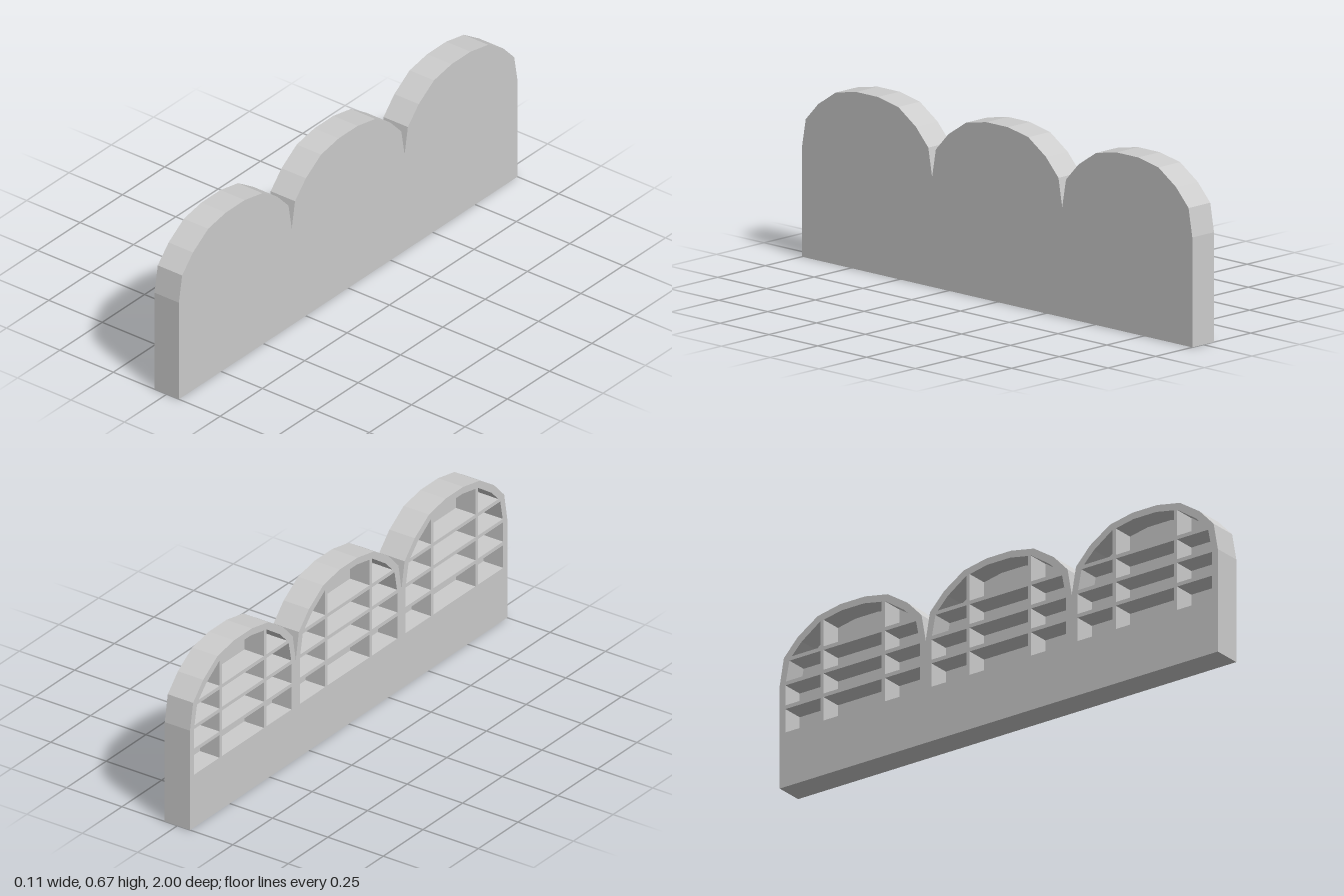
import * as THREE from 'three';

export function createModel() {
  const group = new THREE.Group();
  const grey = new THREE.MeshStandardMaterial({ color: 0xcccccc });
  grey.name = 'light grey';

  const HALF = 0.057, BACK = 0.026, SPAN = 2 / 3;
  const centres = [-SPAN, 0, SPAN];
  // half arch: [offset from the arch centre, height]
  const outer = [[SPAN / 2, 0.415], [0.314, 0.523], [0.25, 0.591], [0.16, 0.65], [0.056, 0.67]];
  const inner = [[0.307, 0.415], [0.288, 0.51], [0.233, 0.567], [0.15, 0.624], [0.052, 0.643]];

  // points of a whole arch, from low z to high z
  const arch = (half, c) => [
    ...half.map(([d, y]) => new THREE.Vector2(c - d, y)),
    ...half.slice().reverse().map(([d, y]) => new THREE.Vector2(c + d, y)),
  ];
  // counter-clockwise outline, so that the extrusion turns the holes inwards
  const outline = () => new THREE.Shape([
    new THREE.Vector2(-1, 0),
    ...centres.flatMap((c, i) => arch(outer, c).slice(i ? 1 : 0)),
    new THREE.Vector2(1, 0),
  ].reverse());

  // shape x becomes z, extrusion runs from startX towards -x
  const slab = (name, shape, startX, depth) => {
    const geo = new THREE.ExtrudeGeometry(shape, { depth, bevelEnabled: false });
    geo.rotateY(-Math.PI / 2).translate(startX, 0, 0);
    const mesh = new THREE.Mesh(geo, grey);
    mesh.name = name;
    group.add(mesh);
  };

  // solid panel closing one side
  slab('backPanel', outline(), HALF, BACK);

  // frame with three arched openings
  const SILL = 0.22;
  const depth = 2 * HALF - BACK;
  const frame = outline();
  for (const c of centres) {
    frame.holes.push(new THREE.Path([
      new THREE.Vector2(c - 0.307, SILL),
      ...arch(inner, c),
      new THREE.Vector2(c + 0.307, SILL),
    ]));
  }
  slab('archedFrame', frame, HALF - BACK, depth);

  // shelves and dividers inside each opening
  const bar = (name, height, length, y, z, parent) => {
    const mesh = new THREE.Mesh(new THREE.BoxGeometry(depth, height, length), grey);
    mesh.name = name;
    mesh.position.set(-BACK / 2, y, z);
    parent.add(mesh);
  };
  for (const c of centres) {
    const bay = new THREE.Group();
    bay.name = 'shelfBay';
    bay.position.z = c;
    for (const [y, half] of [[0.322, 0.31], [0.418, 0.31], [0.513, 0.295]]) {
      bar('shelf', 0.015, 2 * half, y, 0, bay);
    }
    for (const z of [-0.14, 0.14]) {
      bar('divider', 0.64 - SILL, 0.015, (0.64 + SILL) / 2, z, bay);
    }
    group.add(bay);
  }
  return group;
}
